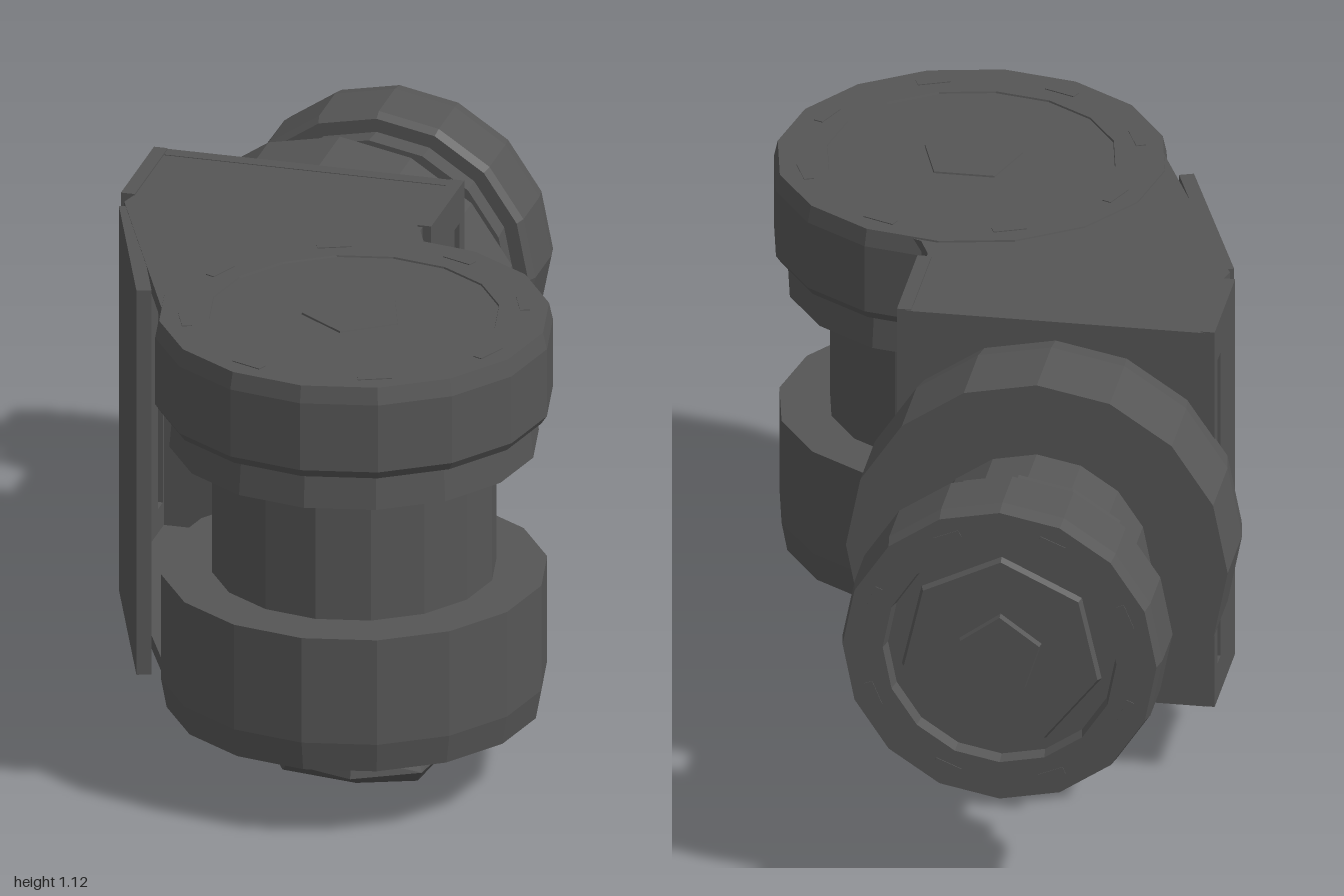
import * as THREE from 'three';
import { ConvexGeometry } from 'three/addons/geometries/ConvexGeometry.js';

export function createModel() {
  const model = new THREE.Group();
  const mat = new THREE.MeshStandardMaterial({ color: 0x565656, flatShading: true });

  function add(name, geometry, parent = model, x = 0, y = 0, z = 0) {
    const mesh = new THREE.Mesh(geometry, mat);
    mesh.name = name;
    mesh.position.set(x, y, z);
    parent.add(mesh);
    return mesh;
  }
  const lathe = (pts, sides) =>
    new THREE.LatheGeometry(pts.map(([r, h]) => new THREE.Vector2(r, h)), sides);
  const polygon = (pts) => new THREE.Shape(pts.map(([x, z]) => new THREE.Vector2(x, z)));

  // Horizontal slab with its outline given in x and z
  function slab(name, shape, bottom, top) {
    const geometry = new THREE.ExtrudeGeometry(shape, {
      depth: top - bottom, curveSegments: 14, bevelEnabled: false,
    });
    add(name, geometry, model, 0, top, 0).rotation.x = Math.PI / 2;
  }

  // Rotary joint: wide base drum, narrow shaft, collar and recessed end cap.
  // h lists the heights of base bottom, base top, shaft top, collar top and cap top;
  // r lists the radii of base, shaft, collar and cap.
  function joint(name, h, r) {
    const g = new THREE.Group();
    g.name = name;
    const [rb, rs, rc, rt] = r, sides = 16, d = 0.03;
    add('baseDrum', lathe([[0, h[0] + d], [rb * 0.66, h[0] + d], [rb * 0.68, h[0]], [rb * 0.97, h[0]],
      [rb, h[0] + 0.07], [rb, h[1]], [rs * 0.9, h[1]]], sides), g);
    add('shaft', lathe([[rs, h[1] - 0.01], [rs, h[2] + 0.01]], sides), g);
    add('collar', lathe([[rs * 0.9, h[2]], [rc, h[2]], [rc * 0.98, h[3] + 0.01]], sides), g);
    add('endCap', lathe([[rc * 0.95, h[3]], [rt * 0.97, h[3]], [rt, h[3] + 0.02], [rt, h[4] - 0.04],
      [rt * 0.98, h[4]], [rt * 0.73, h[4]], [rt * 0.71, h[4] - d], [0, h[4] - d]], sides), g);
    // Raised plate and pin in the cap, with a ring of slots
    add('capPlate', new THREE.CylinderGeometry(rt * 0.62, rt * 0.66, d, 7), g, 0, h[4] - d, 0);
    add('capPin', new THREE.CylinderGeometry(rt * 0.26, rt * 0.28, d, 5), g, 0, h[4] - d / 2, 0);
    for (let i = 0; i < 8; i++) {
      const a = (i + 0.5) * Math.PI / 4;
      const slot = add('capSlot', new THREE.BoxGeometry(rt * 0.17, 0.02, rt * 0.05), g,
        Math.sin(a) * rt * 0.85, h[4] - 0.008, Math.cos(a) * rt * 0.85);
      slot.rotation.y = a;
    }
    model.add(g);
    return g;
  }

  // Upright joint at the front
  const front = joint('frontJoint', [0.175, 0.5, 0.81, 0.895, 1.118], [0.437, 0.322, 0.418, 0.45]);
  front.position.set(0.156, 0, 0.55);

  // Lying joint pointing backwards
  const rear = joint('rearJoint', [0.235, 0.5, 0.74, 0.805, 0.998], [0.435, 0.262, 0.328, 0.365]);
  rear.rotation.x = -Math.PI / 2;
  rear.position.set(-0.172, 0.645, 0);

  // Top and bottom plates reaching round the front joint
  function plate(radius) {
    const shape = polygon([[-0.505, -0.24], [0.17, -0.24], [0.17, 0.05], [0.195, 0.11]]);
    shape.absarc(0.156, 0.55, radius, -1.36, 2.79, false);
    shape.lineTo(-0.515, 0.07);
    shape.lineTo(-0.505, 0.03);
    return shape;
  }
  slab('topPlate', plate(0.425), 1.08, 1.114);
  slab('bottomPlate', plate(0.405), 0.18, 0.212);

  // Slotted side walls
  const wall = polygon([[-0.245, 0.18], [0.03, 0.18], [0.03, 1.118], [-0.245, 1.118]]);
  wall.holes.push(polygon([[-0.205, 0.27], [-0.205, 1.03], [-0.165, 1.03], [-0.165, 0.27]]));
  for (const [name, x] of [['leftWall', 0.19], ['rightWall', -0.502]]) {
    const geometry = new THREE.ExtrudeGeometry(wall, { depth: 0.032, bevelEnabled: false });
    add(name, geometry, model, x, 0, 0).rotation.y = -Math.PI / 2;
  }

  // Back wall with the motor hub on its inner side
  add('backWall', new THREE.BoxGeometry(0.68, 0.935, 0.034), model, -0.172, 0.648, -0.23);
  const hub = new THREE.Group();
  hub.name = 'motorHub';
  hub.rotation.x = Math.PI / 2;
  hub.position.set(-0.172, 0.645, -0.215);
  add('hubRing', lathe([[0.325, 0], [0.325, 0.024], [0.15, 0.024]], 16), hub);
  add('hubCore', lathe([[0.165, 0.02], [0.13, 0.032], [0.07, 0.032], [0.06, 0.01], [0, 0.01]], 8), hub);
  model.add(hub);

  // Slanted cover panel on the right
  const cover = add('sidePanel', new THREE.BoxGeometry(0.034, 0.937, 0.49), model, -0.42, 0.644, 0.317);
  cover.rotation.y = 0.354;

  // Faceted lever arm under the front joint: outlines at the bottom, middle and top
  const levels = [
    [0, [[-0.3, -0.03], [-0.2, -0.07], [0.04, -0.03], [0.32, 0.45], [0.31, 0.57], [0.18, 0.62], [0, 0.59]]],
    [0.06, [[-0.34, 0], [-0.26, -0.13], [0.09, -0.1], [0.365, 0.5], [0.345, 0.66], [0.2, 0.74], [0.04, 0.69]]],
    [0.11, [[-0.33, 0.02], [-0.24, -0.145], [0.11, -0.1], [0.355, 0.5], [0.33, 0.65], [0.2, 0.73], [0.06, 0.68]]],
  ];
  add('leverArm', new ConvexGeometry(
    levels.flatMap(([y, outline]) => outline.map(([x, z]) => new THREE.Vector3(x, y, z)))));
  slab('leverRiser', polygon([[-0.33, 0.02], [-0.32, -0.06], [-0.25, -0.13], [-0.22, -0.12],
    [-0.22, 0.1], [-0.28, 0.1]]), 0.09, 0.185);
  slab('leverPivot', polygon([[-0.08, 0.24], [-0.01, 0.3], [0.07, 0.29], [0.13, 0.2],
    [0.12, -0.03], [0.03, -0.11], [-0.06, -0.08]]), 0.1, 0.168);

  // Peg below the rear joint, narrowing towards the front
  const peg = new THREE.BoxGeometry(0.14, 0.085, 0.38, 1, 1, 2);
  const p = peg.attributes.position;
  for (let i = 0; i < p.count; i++) {
    if (p.getZ(i) > 0.1) p.setXYZ(i, p.getX(i) * 0.7, p.getY(i) * 0.5, p.getZ(i));
    else if (p.getZ(i) < -0.1 && p.getY(i) > 0) p.setZ(i, p.getZ(i) + 0.015);
  }
  add('rearPeg', peg, model, -0.155, 0.168, -0.31);

  return model;
}
